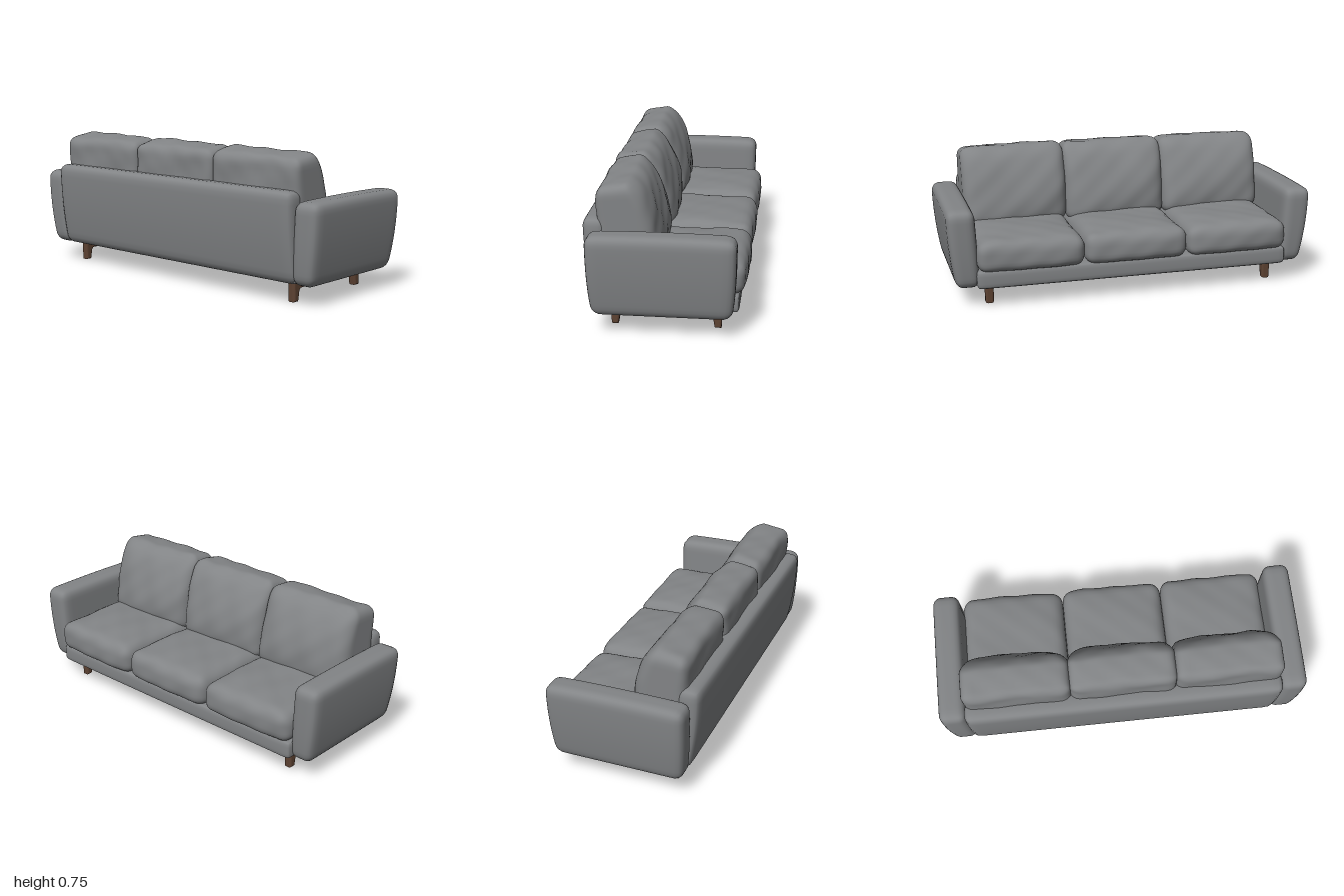
import * as THREE from 'three';
import { mergeVertices } from 'three/addons/utils/BufferGeometryUtils.js';

const fabric = new THREE.MeshStandardMaterial({ color: 0x828486 });
fabric.name = 'grey fabric';
const wood = new THREE.MeshStandardMaterial({ color: 0x5e4333 });
wood.name = 'dark wood';

// Rounded upholstery block between two corners; rule(p, u) then reshapes it,
// where u is the position scaled to -1..1 on each axis.
function softBlock(name, lo, hi, r, segs, rule) {
  let geo = new THREE.BoxGeometry(2, 2, 2, ...segs);
  geo.deleteAttribute('uv');
  geo.deleteAttribute('normal');
  geo.clearGroups();
  geo = mergeVertices(geo);
  const min = new THREE.Vector3(...lo), max = new THREE.Vector3(...hi);
  const mid = min.clone().add(max).multiplyScalar(0.5);
  const half = max.clone().sub(min).multiplyScalar(0.5);
  const core = half.clone().subScalar(r);
  const pos = geo.attributes.position;
  const p = new THREE.Vector3(), inner = new THREE.Vector3();
  const ease = (v) => Math.sin(v * Math.PI / 2); // denser rows near the edges
  for (let i = 0; i < pos.count; i++) {
    p.fromBufferAttribute(pos, i);
    p.set(ease(p.x), ease(p.y), ease(p.z)).multiply(half);
    inner.copy(p).clamp(core.clone().negate(), core);
    p.sub(inner).setLength(r).add(inner);
    const u = p.clone().divide(half);
    p.add(mid);
    if (rule) rule(p, u);
    pos.setXYZ(i, p.x, p.y, p.z);
  }
  geo.computeVertexNormals();
  const mesh = new THREE.Mesh(geo, fabric);
  mesh.name = name;
  return mesh;
}

// Soft creases, different for each seed
const crease = (a, b, seed) =>
  0.5 * Math.sin(a * 17 + b * 9 + seed * 2.1) +
  0.3 * Math.sin(b * 31 - a * 13 + seed * 4.7) +
  0.2 * Math.sin(a * 43 + b * 37 + seed * 1.3);

export function createModel() {
  const sofa = new THREE.Group();
  sofa.name = 'sofa';

  // Base and backrest
  sofa.add(softBlock('base', [-0.34, 0.105, -0.855], [0.368, 0.205, 0.855], 0.025, [12, 8, 20]));
  sofa.add(softBlock('backrest', [-0.407, 0.105, -0.858], [-0.285, 0.572, 0.858], 0.045, [10, 16, 24],
    (p, u) => { p.x += 0.052 * ((1 - u.y) / 2) ** 2; }));

  // Arms, leaning outwards towards the top
  for (const side of [1, -1]) {
    const z = side > 0 ? [0.832, 1.0] : [-1.0, -0.832];
    sofa.add(softBlock(side > 0 ? 'rightArm' : 'leftArm',
      [-0.374, 0.103, z[0]], [0.358, 0.53, z[1]], 0.05, [20, 20, 12], (p, u) => {
        const low = (1 - u.y) / 2;
        const out = (u.z * side + 1) / 2;
        p.z += side * (0.022 * (1 - low) * (1 - out) - 0.045 * low * low * out);
        p.x -= 0.022 * u.x * low ** 3;
        p.y -= 0.006 * Math.max(u.y, 0) * u.x * u.x;
      }));
  }

  // Three seat cushions and three back cushions
  const edges = [-0.852, -0.282, 0.282, 0.852];
  for (let i = 0; i < 3; i++) {
    const z0 = edges[i], z1 = edges[i + 1];
    sofa.add(softBlock('seatCushion' + (i + 1), [-0.3, 0.195, z0], [0.388, 0.35, z1], 0.055, [26, 12, 26],
      (p, u) => {
        const puff = (1 - u.z ** 4) * (1 - 0.6 * Math.max(u.x, 0) ** 3);
        const top = Math.max(u.y, 0);
        p.y += top * (0.028 * puff + 0.006 * crease(p.x, p.z, i + 1));
        const front = Math.max(u.x, 0) ** 3;
        p.x += front * (0.014 * (1 - u.z ** 4) + 0.006 * crease(p.y, p.z, i + 4));
      }));
    sofa.add(softBlock('backCushion' + (i + 1), [-0.338, 0.32, z0 - 0.003], [-0.035, 0.742, z1 + 0.003], 0.055, [18, 22, 26],
      (p, u) => {
        const up = (u.y + 1) / 2, front = (u.x + 1) / 2;
        const belly = (1 - u.z ** 4) * (1 - u.y ** 4);
        // front face leans back and narrows towards the top
        p.x -= front * (0.115 * up ** 2.4 + 0.02 * u.z ** 4);
        p.x += Math.max(u.x, 0) * (0.02 * belly + 0.009 * crease(p.y, p.z, i + 2));
        p.x += Math.min(u.x, 0) * 0.006 * crease(p.z, p.y, i + 7);
        // crowned top
        const top = Math.max(u.y, 0) ** 2;
        p.y += top * (0.008 - 0.03 * (1 - front) ** 2 + 0.006 * crease(p.x, p.z, i + 5));
      }));
  }

  // Wooden leg frames: two tapered legs joined by a rail
  const outline = new THREE.Shape();
  outline.moveTo(-0.282, 0.115);
  outline.lineTo(-0.277, 0);
  outline.lineTo(-0.243, 0);
  outline.lineTo(-0.234, 0.052);
  outline.quadraticCurveTo(-0.231, 0.066, -0.215, 0.066);
  outline.lineTo(0.215, 0.066);
  outline.quadraticCurveTo(0.231, 0.066, 0.234, 0.052);
  outline.lineTo(0.243, 0);
  outline.lineTo(0.277, 0);
  outline.lineTo(0.282, 0.115);
  const frameGeo = new THREE.ExtrudeGeometry(outline, {
    depth: 0.02, bevelEnabled: true, bevelThickness: 0.012, bevelSize: 0.01,
    bevelOffset: -0.01, bevelSegments: 3, curveSegments: 6,
  });
  frameGeo.translate(0, 0, -0.01);
  for (const side of [1, -1]) {
    const frame = new THREE.Mesh(frameGeo, wood);
    frame.name = side > 0 ? 'rightLegFrame' : 'leftLegFrame';
    frame.position.z = side * 0.78;
    sofa.add(frame);
  }
  return sofa;
}
